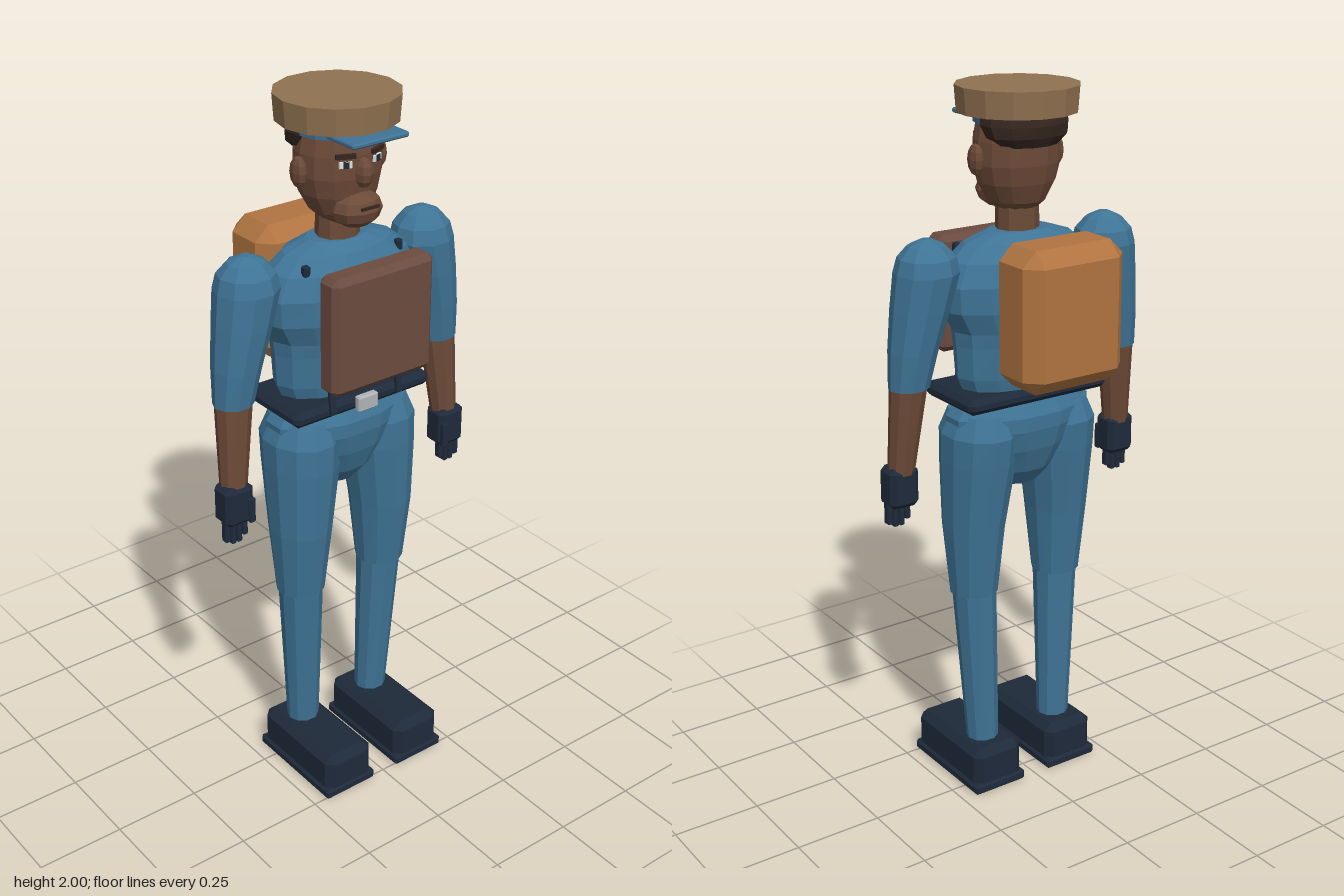
import * as THREE from 'three';
import { ConvexGeometry } from 'three/addons/geometries/ConvexGeometry.js';

const mat = (name, color) => {
  const m = new THREE.MeshStandardMaterial({ color });
  m.name = name;
  return m;
};

// Closed low-poly body through elliptical rings, bottom to top: [x, y, z, rx, rz]
function loft(rings, sides = 10) {
  const pos = [], idx = [];
  for (const [x, y, z, rx, rz] of rings) {
    for (let j = 0; j < sides; j++) {
      const a = (j + 0.5) / sides * Math.PI * 2;
      pos.push(x + rx * Math.sin(a), y, z + rz * Math.cos(a));
    }
  }
  const last = (rings.length - 1) * sides;
  for (let i = 0; i < last; i += sides) {
    for (let j = 0; j < sides; j++) {
      const k = (j + 1) % sides;
      idx.push(i + j, i + k, i + sides + k, i + j, i + sides + k, i + sides + j);
    }
  }
  for (let j = 1; j < sides - 1; j++) {
    idx.push(0, j + 1, j, last, last + j, last + j + 1);
  }
  const g = new THREE.BufferGeometry();
  g.setAttribute('position', new THREE.Float32BufferAttribute(pos, 3));
  g.setIndex(idx);
  return g;
}

// Box with every edge cut off by c
function chamferBox(w, h, d, c) {
  const pts = [];
  for (const sx of [-1, 1]) for (const sy of [-1, 1]) for (const sz of [-1, 1]) {
    const [x, y, z] = [sx * w / 2, sy * h / 2, sz * d / 2];
    pts.push(new THREE.Vector3(x, y - sy * c, z - sz * c),
      new THREE.Vector3(x - sx * c, y, z - sz * c),
      new THREE.Vector3(x - sx * c, y - sy * c, z));
  }
  return new ConvexGeometry(pts);
}

const ball = (rx, ry, rz, w = 10, h = 6) => new THREE.SphereGeometry(1, w, h).scale(rx, ry, rz);

export function createModel() {
  const cloth = mat('blue cloth', 0x3f7496);
  const skin = mat('brown skin', 0x6c4a38);
  const panelBrown = mat('panel brown', 0x6b4b3f);
  const tan = mat('tan cap', 0x8f7150);
  const packOrange = mat('pack leather', 0xb07440);
  const navy = mat('dark navy', 0x1e2a3a);
  const hairBrown = mat('dark hair', 0x35261f);
  const metal = mat('buckle grey', 0xb0b4b8);
  const white = mat('eye white', 0xe4e2dc);

  const root = new THREE.Group();
  root.name = 'uniformedFigure';

  // Faceted mesh
  const add = (name, geo, material, x = 0, y = 0, z = 0) => {
    const g = geo.index ? geo.toNonIndexed() : geo;
    g.computeVertexNormals();
    const m = new THREE.Mesh(g, material);
    m.name = name;
    m.position.set(x, y, z);
    root.add(m);
    return m;
  };

  // Trunk
  add('torso', loft([
    [0, 1.18, 0.02, 0.17, 0.095], [0, 1.24, 0.02, 0.195, 0.105],
    [0, 1.33, 0.02, 0.2, 0.112], [0, 1.37, 0.02, 0.205, 0.118],
    [0, 1.43, 0.022, 0.24, 0.13], [0, 1.5, 0.022, 0.245, 0.13],
    [0, 1.56, 0.022, 0.215, 0.115], [0, 1.6, 0.022, 0.165, 0.09],
    [0, 1.625, 0.022, 0.09, 0.06]], 14), cloth);
  add('pelvis', loft([
    [0, 0.91, 0.025, 0.055, 0.045], [0, 0.96, 0.025, 0.11, 0.085],
    [0, 1.03, 0.025, 0.175, 0.112], [0, 1.09, 0.025, 0.22, 0.125],
    [0, 1.13, 0.025, 0.222, 0.125], [0, 1.165, 0.025, 0.195, 0.11]], 12), cloth);
  add('belt', chamferBox(0.45, 0.042, 0.235, 0.014), navy, 0, 1.186, 0.03);
  add('beltBuckle', chamferBox(0.065, 0.044, 0.022, 0.004), metal, 0, 1.187, 0.153);

  // Chest panel and backpack
  add('chestPanel', chamferBox(0.325, 0.325, 0.078, 0.017), panelBrown, 0, 1.43, 0.19);
  add('backpack', chamferBox(0.316, 0.38, 0.185, 0.041), packOrange, 0, 1.435, -0.172);

  // Neck and head
  add('neck', loft([[0, 1.58, 0.025, 0.062, 0.056], [0, 1.72, 0.025, 0.058, 0.054]]), skin);
  add('head', loft([
    [0, 1.67, 0.035, 0.045, 0.05], [0, 1.7, 0.03, 0.08, 0.077],
    [0, 1.75, 0.028, 0.108, 0.095], [0, 1.8, 0.027, 0.121, 0.103],
    [0, 1.86, 0.027, 0.12, 0.104], [0, 1.92, 0.027, 0.108, 0.095]], 14), skin);
  add('jaw', ball(0.072, 0.05, 0.06), skin, 0, 1.716, 0.102);
  add('nose', ball(0.024, 0.04, 0.03, 8, 6), skin, 0, 1.815, 0.13);
  add('mouth', new THREE.BoxGeometry(0.055, 0.007, 0.006), hairBrown, 0, 1.731, 0.16);
  add('hair', loft([
    [0, 1.85, -0.015, 0.09, 0.07], [0, 1.875, -0.02, 0.118, 0.08],
    [0, 1.905, -0.008, 0.126, 0.097], [0, 1.932, 0, 0.12, 0.1]], 12), hairBrown);

  // Cap
  add('capBand', loft([[0, 1.905, 0.027, 0.118, 0.105], [0, 1.935, 0.027, 0.12, 0.108]], 14), cloth);
  add('capCrown', loft([[0, 1.93, 0.023, 0.16, 0.16], [0, 2, 0.023, 0.165, 0.165]], 14), tan);
  add('capVisor', chamferBox(0.175, 0.014, 0.17, 0.004), cloth, 0, 1.915, 0.117);

  for (const s of [-1, 1]) {
    // Face details
    add('ear', ball(0.018, 0.042, 0.03, 8, 6), skin, s * 0.126, 1.815, 0.03);
    const turn = s * 0.4;
    add('eyeWhite', new THREE.BoxGeometry(0.034, 0.016, 0.008), white, s * 0.049, 1.842, 0.121).rotation.y = turn;
    add('pupil', new THREE.BoxGeometry(0.014, 0.016, 0.008), navy, s * 0.049, 1.842, 0.124).rotation.y = turn;
    add('eyebrow', new THREE.BoxGeometry(0.052, 0.012, 0.009), hairBrown, s * 0.05, 1.864, 0.123).rotation.y = turn;

    // Harness
    add('shoulderClip', chamferBox(0.02, 0.03, 0.02, 0.004), navy, s * 0.15, 1.575, 0.09);
    add('harnessStrap', new THREE.BoxGeometry(0.018, 0.2, 0.009), navy, s * 0.11, 1.28, 0.14).rotation.x = -0.12;

    // Arm
    add('sleeve', loft([
      [s * 0.342, 1.24, 0.032, 0.056, 0.052], [s * 0.328, 1.34, 0.03, 0.067, 0.066],
      [s * 0.305, 1.45, 0.027, 0.08, 0.079], [s * 0.286, 1.545, 0.023, 0.088, 0.086],
      [s * 0.285, 1.585, 0.022, 0.078, 0.076], [s * 0.285, 1.615, 0.022, 0.051, 0.05],
      [s * 0.285, 1.632, 0.022, 0.014, 0.014]]), cloth);
    add('forearm', loft([
      [s * 0.362, 1.0, 0.05, 0.037, 0.036], [s * 0.343, 1.245, 0.033, 0.052, 0.048]]), skin);
    add('glove', chamferBox(0.088, 0.115, 0.075, 0.014), navy, s * 0.365, 0.963, 0.055);
    for (let i = 0; i < 4; i++) {
      const len = [0.06, 0.075, 0.075, 0.065][i];
      add('finger', chamferBox(0.016, len, 0.022, 0.003), navy, s * (0.342 + i * 0.0185), 0.92 - len / 2, 0.062);
    }
    add('thumb', chamferBox(0.02, 0.075, 0.02, 0.004), navy, s * 0.335, 0.945, 0.09);

    // Leg
    add('thigh', loft([
      [s * 0.141, 0.6, 0.04, 0.068, 0.07], [s * 0.14, 0.8, 0.04, 0.085, 0.096],
      [s * 0.13, 1.0, 0.03, 0.102, 0.118], [s * 0.128, 1.08, 0.026, 0.104, 0.122],
      [s * 0.125, 1.14, 0.026, 0.08, 0.1]], 12), cloth);
    add('shin', loft([
      [s * 0.125, 0.11, 0.025, 0.046, 0.044], [s * 0.14, 0.62, 0.04, 0.062, 0.066]]), cloth);
    add('boot', chamferBox(0.16, 0.125, 0.327, 0.022), navy, s * 0.125, 0.073, 0.096);
    add('bootSole', chamferBox(0.172, 0.032, 0.335, 0.008), navy, s * 0.126, 0.016, 0.095);
  }
  return root;
}
